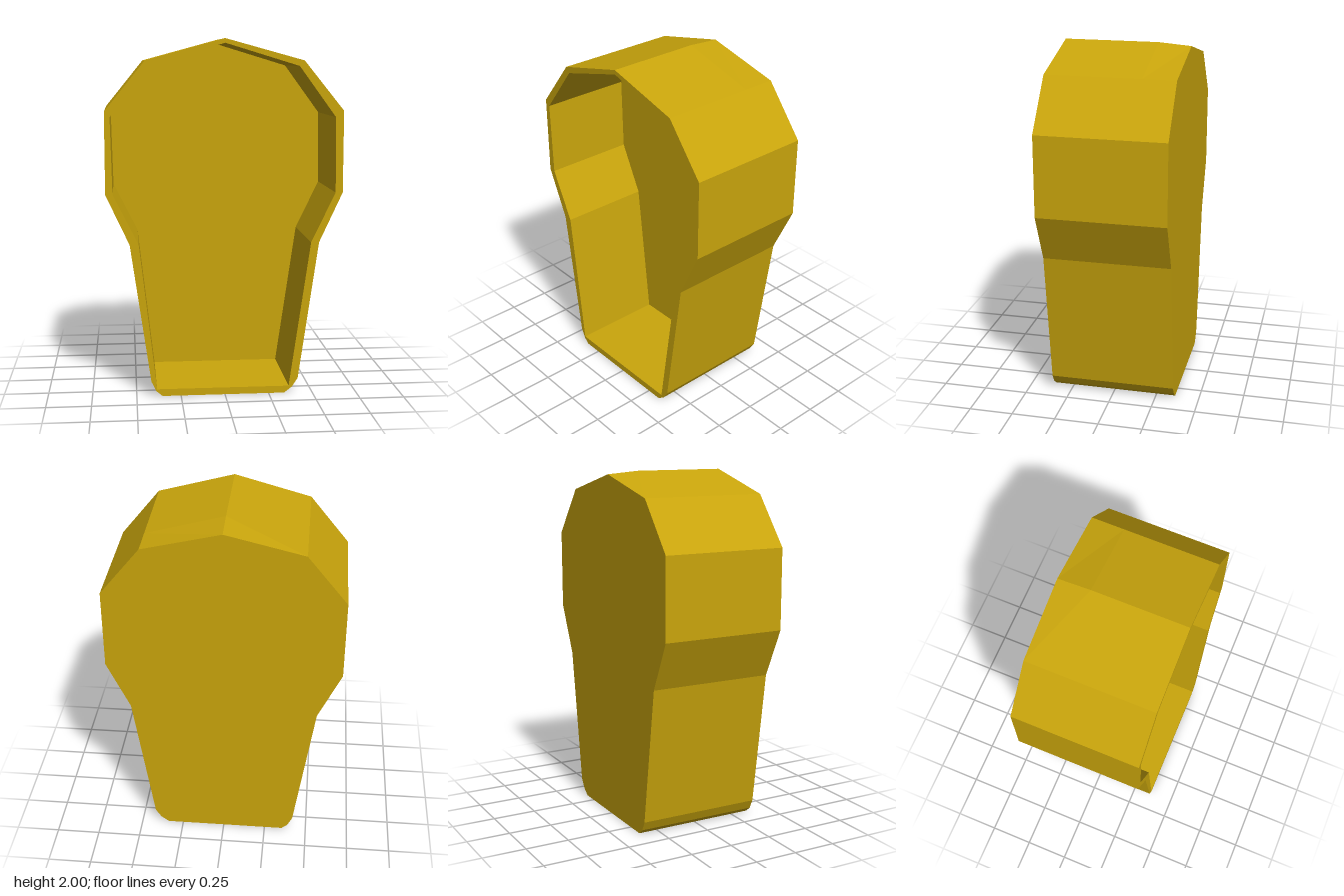
import * as THREE from 'three';

const BACK = -0.36, FLOOR = -0.175, FRONT = 0.36;

const toPath = (Type, points) => new Type(points.map(([x, y]) => new THREE.Vector2(x, y)));

function extrude(shape, z0, z1) {
  const geometry = new THREE.ExtrudeGeometry(shape, { depth: z1 - z0, bevelEnabled: false });
  return geometry.translate(0, 0, z0);
}

export function createModel() {
  const group = new THREE.Group();
  group.name = 'openTray';
  const material = new THREE.MeshStandardMaterial({ color: 0xc9a50c, flatShading: true });

  // Outer outline, counter-clockwise from the lower right corner
  const outer = [
    [0.34, 0], [0.385, 0.035], [0.417, 0.085], [0.53, 0.87], [0.66, 1.15], [0.66, 1.605],
    [0.437, 1.88], [0, 2], [-0.437, 1.88], [-0.66, 1.605], [-0.66, 1.15], [-0.53, 0.87],
    [-0.417, 0.085], [-0.39, 0.03], [-0.355, 0],
  ];
  // Outline of the cavity
  const inner = [
    [0.365, 0.04], [0.485, 0.87], [0.62, 1.15], [0.615, 1.57], [0.41, 1.85], [0, 1.975],
    [-0.413, 1.85], [-0.63, 1.575], [-0.62, 1.15], [-0.48, 0.87], [-0.385, 0.04],
  ];

  // Thin wall around the cavity, open at the front
  const wallShape = toPath(THREE.Shape, outer);
  wallShape.holes.push(toPath(THREE.Path, inner));
  const wall = new THREE.Mesh(extrude(wallShape, FLOOR, FRONT), material);
  wall.name = 'sideWall';

  // Thick back panel, its peak dropping slightly towards the rear
  const panelGeometry = extrude(toPath(THREE.Shape, outer), BACK, FLOOR);
  const position = panelGeometry.attributes.position;
  for (let i = 0; i < position.count; i++) {
    if (position.getY(i) > 1.95 && position.getZ(i) < BACK + 0.01) position.setY(i, 1.985);
  }
  panelGeometry.computeVertexNormals();
  const panel = new THREE.Mesh(panelGeometry, material);
  panel.name = 'backPanel';

  group.add(wall, panel);
  return group;
}
